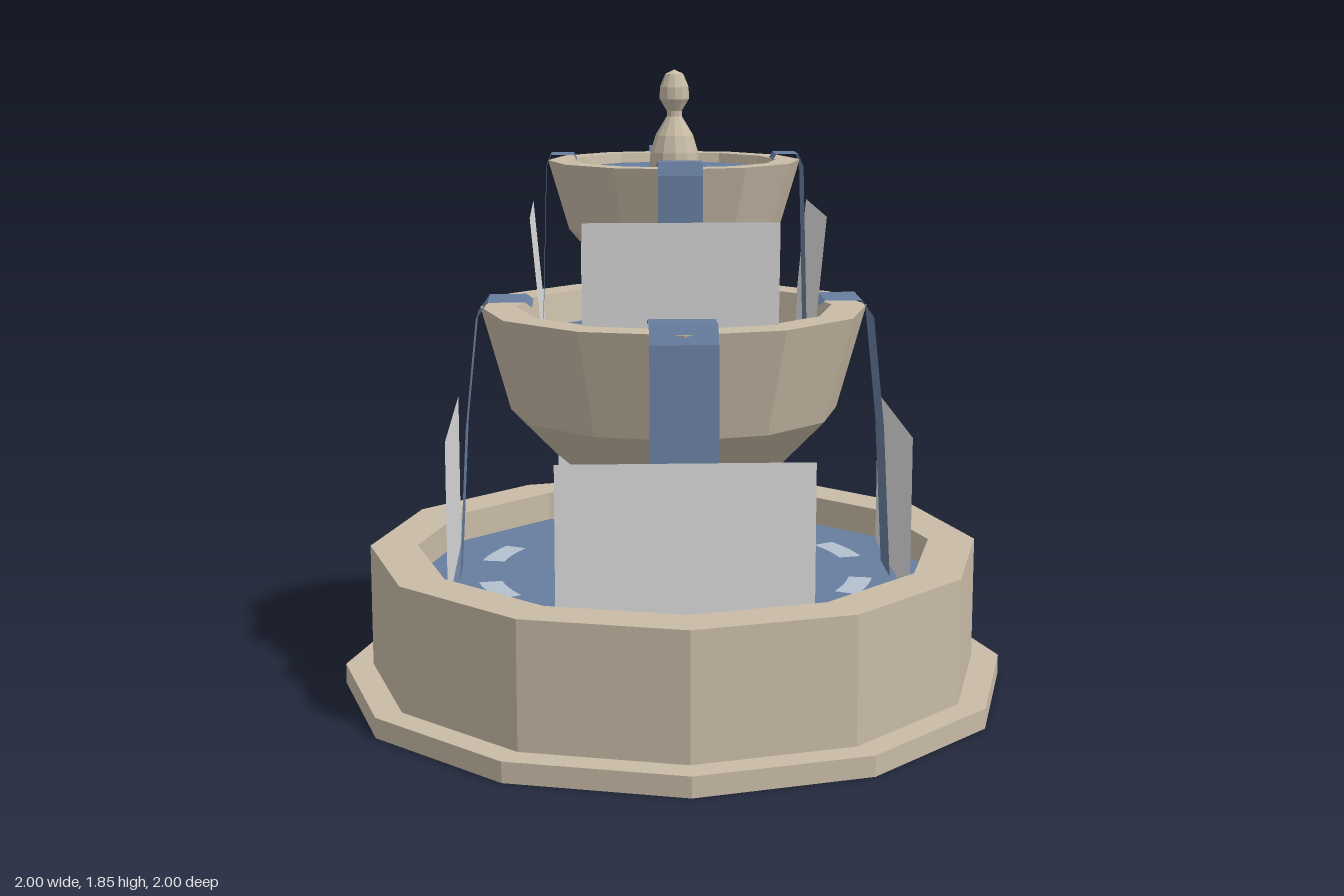
import * as THREE from 'three';

const SIDES = 12;

function flat(name, color, side = THREE.FrontSide) {
  const m = new THREE.MeshStandardMaterial({ color, side, flatShading: true });
  m.name = name;
  return m;
}

function mesh(name, geometry, material) {
  const m = new THREE.Mesh(geometry, material);
  m.name = name;
  return m;
}

// Turned twelve-sided part from [radius, height] pairs
function turned(name, profile, material) {
  const points = profile.map(([r, y]) => new THREE.Vector2(r, y));
  return mesh(name, new THREE.LatheGeometry(points, SIDES), material);
}

// Ribbon of given half width following [distance, height] pairs
function ribbon(halfWidth, path) {
  const pos = [], index = [];
  path.forEach(([z, y], i) => {
    pos.push(-halfWidth, y, z, halfWidth, y, z);
    if (i > 0) {
      const a = 2 * i - 2;
      index.push(a, a + 2, a + 1, a + 1, a + 2, a + 3);
    }
  });
  const g = new THREE.BufferGeometry();
  g.setAttribute('position', new THREE.Float32BufferAttribute(pos, 3));
  g.setIndex(index);
  g.computeVertexNormals();
  return g;
}

export function createModel() {
  const fountain = new THREE.Group();
  fountain.name = 'fountain';

  const stone = flat('stone', 0xc8bba6);
  const water = flat('water', 0x677d9e, THREE.DoubleSide);
  const mist = flat('mist', 0xdcdcdc, THREE.DoubleSide);
  const foam = flat('foam', 0xb4c0d0, THREE.DoubleSide);

  // Basin with a stepped foot and a recess underneath
  fountain.add(turned('basin', [
    [0, 0.06], [0.67, 0.06], [0.67, 0], [1, 0], [1, 0.06], [0.917, 0.06],
    [0.917, 0.43], [0.775, 0.43], [0.775, 0.3], [0, 0.3],
  ], stone));

  // Columns
  fountain.add(turned('lowerColumn', [[0.165, 0.3], [0.13, 0.62]], stone));
  fountain.add(turned('upperColumn', [[0.095, 1.02], [0.08, 1.26]], stone));

  // Bowls
  fountain.add(turned('middleBowl', [
    [0, 0.56], [0.16, 0.56], [0.355, 0.71], [0.488, 0.845], [0.575, 1.155],
    [0.47, 1.155], [0.45, 1.03], [0, 1.03],
  ], stone));
  fountain.add(turned('topBowl', [
    [0, 1.21], [0.11, 1.21], [0.28, 1.35], [0.31, 1.385], [0.37, 1.588],
    [0.3, 1.588], [0.29, 1.52], [0, 1.52],
  ], stone));

  // Finial
  fountain.add(turned('finial', [
    [0.075, 1.53], [0.07, 1.61], [0.055, 1.66], [0.022, 1.715], [0.022, 1.73],
    [0.043, 1.765], [0.042, 1.8], [0.026, 1.838], [0, 1.85],
  ], stone));

  // Water surfaces
  for (const [name, r, y] of [
    ['basinWater', 0.775, 0.34], ['middleWater', 0.46, 1.06], ['topWater', 0.298, 1.56],
  ]) {
    const disc = mesh(name, new THREE.CircleGeometry(r, SIDES), water);
    disc.rotation.x = -Math.PI / 2;
    disc.position.y = y;
    fountain.add(disc);
  }

  // Falling water and upright mist sheets on each of the four sides
  const lowerFall = ribbon(0.095, [
    [0.42, 1.165], [0.44, 1.18], [0.55, 1.18], [0.585, 1.13], [0.62, 0.8], [0.645, 0.34],
  ]);
  const upperFall = ribbon(0.0625, [
    [0.285, 1.59], [0.295, 1.607], [0.36, 1.607], [0.375, 1.57], [0.39, 1.06],
  ]);
  const lowerMist = ribbon(0.355, [[0.665, 0.82], [0.665, 0.33]]);
  const upperMist = ribbon(0.275, [[0.42, 1.445], [0.385, 1.06]]);

  for (let i = 0; i < 4; i++) {
    const side = new THREE.Group();
    side.name = 'waterSide' + (i + 1);
    side.rotation.y = i * Math.PI / 2;
    side.add(
      mesh('lowerFall', lowerFall, water),
      mesh('upperFall', upperFall, water),
      mesh('lowerMist', lowerMist, mist),
      mesh('upperMist', upperMist, mist),
    );
    // Foam patches either side of the fall
    for (const s of [-1, 1]) {
      const start = -Math.PI / 2 + s * 0.37 - 0.16;
      const patch = mesh('foamPatch', new THREE.RingGeometry(0.53, 0.6, 4, 1, start, 0.32), foam);
      patch.rotation.x = -Math.PI / 2;
      patch.position.y = 0.346;
      side.add(patch);
    }
    fountain.add(side);
  }

  return fountain;
}
